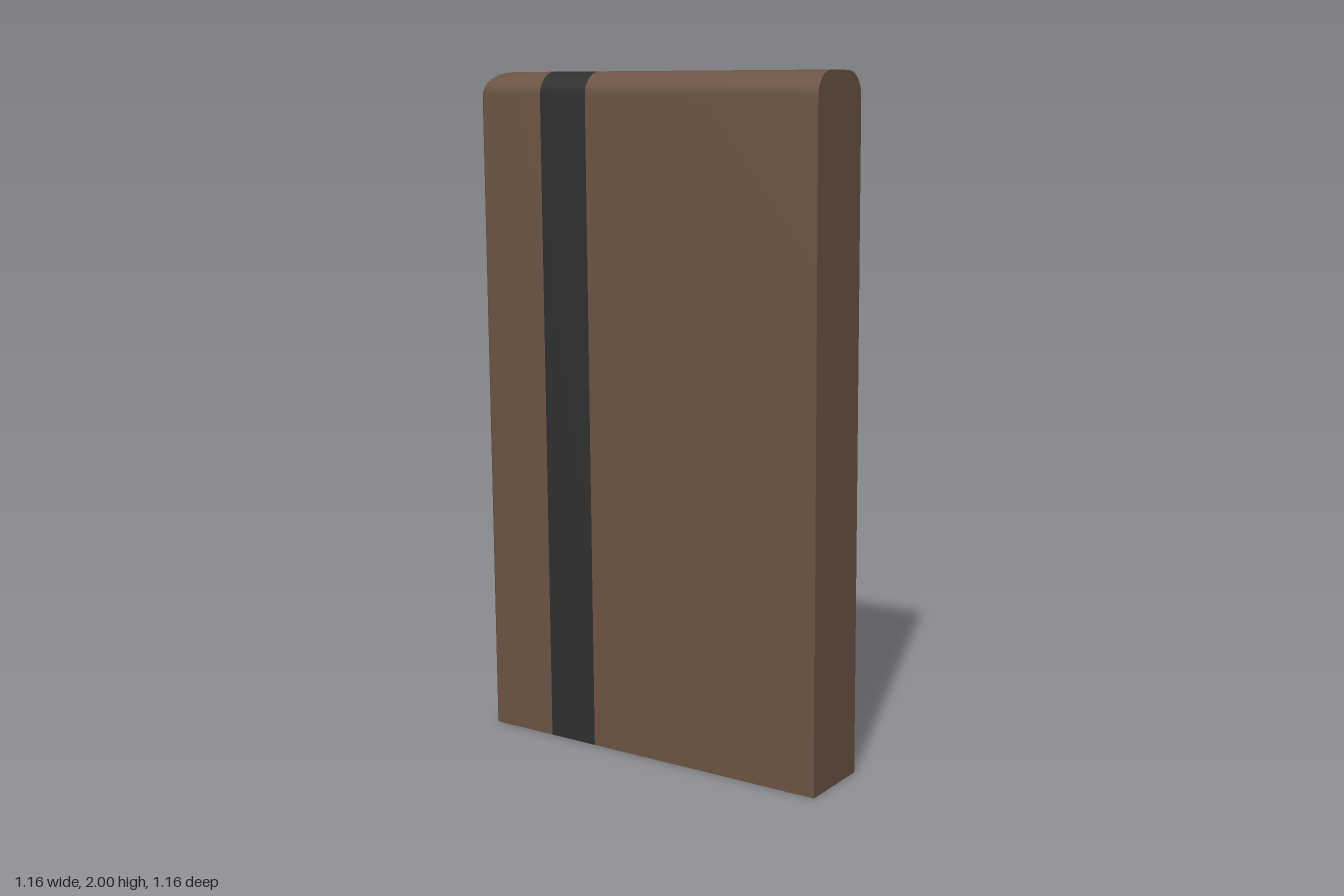
import * as THREE from 'three';
import { toCreasedNormals } from 'three/addons/utils/BufferGeometryUtils.js';

const HALF = 0.58, THICK = 0.23, HEIGHT = 2, ROUND = 0.07, CHAMFER = 0.016;
const INNER = THICK - HALF, BAND = -0.187;

// Wall cross-section: [distance from the outer face, height], rounded along the top
function wallProfile() {
  const pts = [[0, 0]], steps = 8;
  for (const [centre, start] of [[ROUND, Math.PI], [THICK - ROUND, Math.PI / 2]]) {
    for (let i = 0; i <= steps; i++) {
      const a = start - (i / steps) * Math.PI / 2;
      pts.push([centre + ROUND * Math.cos(a), HEIGHT - ROUND + ROUND * Math.sin(a)]);
    }
  }
  pts.push([THICK, 0]);
  return pts;
}

// Stations turn a distance from the outer face into a position [x, z]
const acrossFront = (x) => (o) => [x, HALF - o];
const acrossSide = (z) => (o) => [-HALF + o, z];
const cut = (o) => CHAMFER * (1 - o / THICK);
const mitreFront = (o) => [-HALF + o + cut(o), HALF - o];
const mitreSide = (o) => [-HALF + o, HALF - o - cut(o)];

// Skin the profile along the stations, with optional end caps
function sweep(stations, capStart = false, capEnd = false) {
  const profile = wallProfile(), n = profile.length, pos = [];
  const rings = stations.map((at) => profile.map(([o, y]) => {
    const [x, z] = at(o);
    return new THREE.Vector3(x, y, z);
  }));
  const tri = (a, b, c) => {
    if (new THREE.Triangle(a, b, c).getArea() < 1e-8) return;
    for (const p of [a, b, c]) pos.push(p.x, p.y, p.z);
  };
  for (let s = 0; s < rings.length - 1; s++) {
    const p = rings[s], q = rings[s + 1];
    for (let i = 0; i < n; i++) {
      const j = (i + 1) % n;
      tri(p[i], p[j], q[j]);
      tri(p[i], q[j], q[i]);
    }
  }
  const first = rings[0], last = rings[rings.length - 1];
  for (let i = 1; i < n - 1; i++) {
    if (capStart) tri(first[0], first[i + 1], first[i]);
    if (capEnd) tri(last[0], last[i], last[i + 1]);
  }
  const geo = new THREE.BufferGeometry();
  geo.setAttribute('position', new THREE.Float32BufferAttribute(pos, 3));
  return toCreasedNormals(geo, Math.PI / 6);
}

export function createModel() {
  const group = new THREE.Group();
  group.name = 'cornerWall';
  const brown = new THREE.MeshStandardMaterial({ color: 0x6b5444 });
  brown.name = 'brown';
  const charcoal = new THREE.MeshStandardMaterial({ color: 0x2f2f2f });
  charcoal.name = 'charcoal';

  const add = (name, material, ...args) => {
    const mesh = new THREE.Mesh(sweep(...args), material);
    mesh.name = name;
    group.add(mesh);
  };

  // Front arm, from its free end to the corner
  add('frontPanel', brown, [acrossFront(HALF), acrossFront(BAND)], true);
  add('frontBand', charcoal, [acrossFront(BAND), acrossFront(INNER)]);
  // Mitred corner post with a slim chamfer
  add('cornerPost', brown, [acrossFront(INNER), mitreFront, mitreSide, acrossSide(-INNER)]);
  // Side arm, from the corner to its free end
  add('sideBand', charcoal, [acrossSide(-INNER), acrossSide(-BAND)]);
  add('sidePanel', brown, [acrossSide(-BAND), acrossSide(-HALF)], false, true);

  return group;
}
